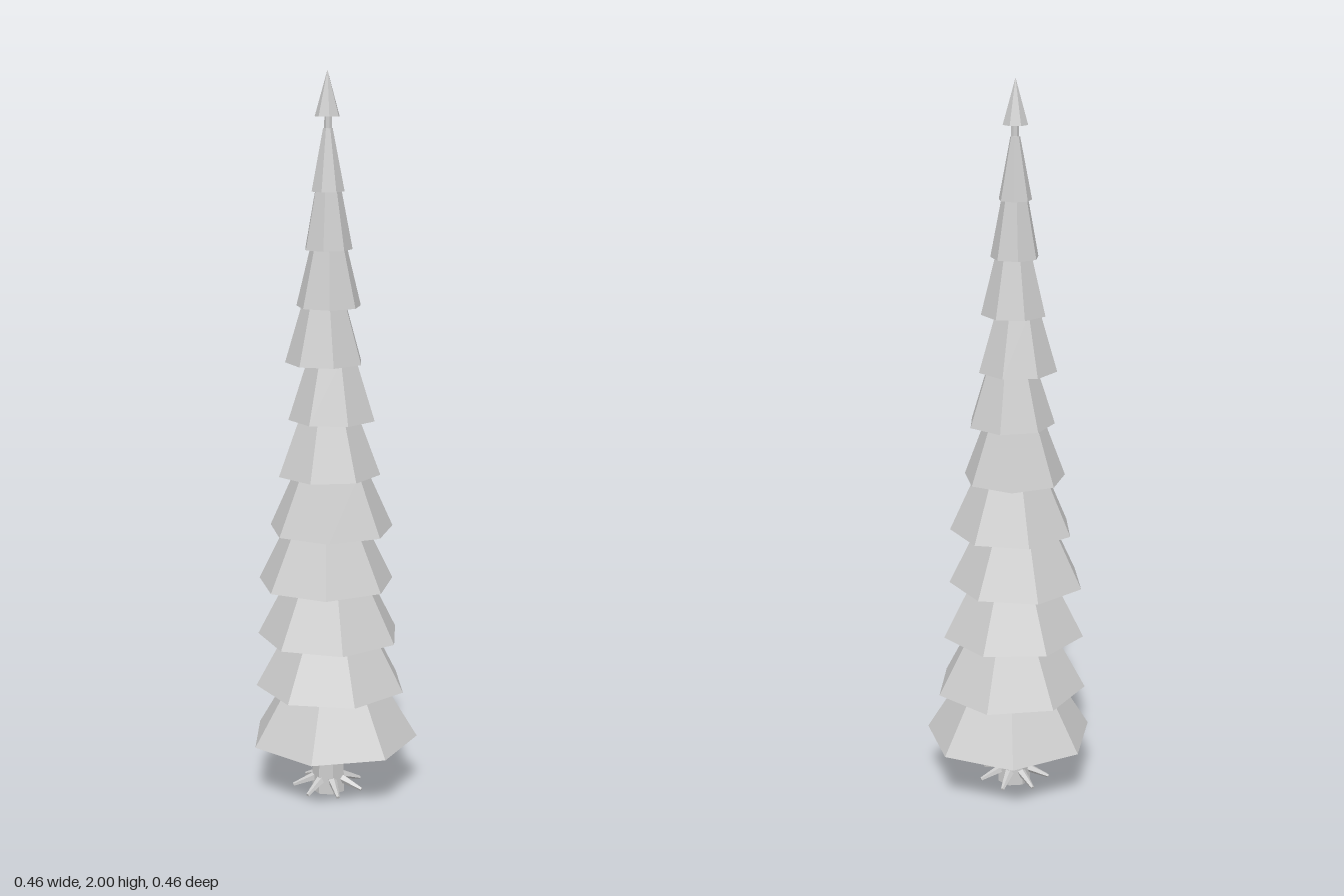
import * as THREE from 'three';

export function createModel() {
  const tree = new THREE.Group();
  tree.name = 'coniferTree';
  const grey = new THREE.MeshStandardMaterial({ color: 0xcccccc, flatShading: true });
  grey.name = 'light grey';
  const SIDES = 7;
  const rad = THREE.MathUtils.degToRad;

  // Upright frustum standing on y, first corner at `turn` degrees from +x towards +z
  function frustum(name, rTop, rBottom, y, height, x, z, turn) {
    const g = new THREE.CylinderGeometry(rTop, rBottom, height, SIDES, 1, false, rad(90 - turn));
    const m = new THREE.Mesh(g, grey);
    m.name = name;
    m.position.set(x, y + height / 2, z);
    tree.add(m);
  }

  // Trunk running up through all the tiers
  frustum('trunk', 0.01, 0.047, 0, 1.9, -0.02, 0, 13);

  // Branch tiers: centre x, centre z, radius, turn
  const tiers = [
    [0, -0.005, 0.237, -9],
    [0, -0.01, 0.212, 11],
    [-0.02, 0.005, 0.2, 18],
    [-0.03, 0, 0.19, 28],
    [-0.02, 0.01, 0.173, 30],
    [-0.02, 0, 0.142, 48],
    [-0.015, 0.01, 0.12, 59],
    [-0.022, -0.012, 0.108, 67],
    [-0.017, -0.002, 0.089, 78],
    [-0.02, -0.002, 0.066, 90],
    [-0.02, -0.002, 0.045, 101],
  ];
  tiers.forEach(([x, z, r, turn], i) => {
    const top = i === 10 ? 0.013 : r * 0.6 - 0.005;
    frustum('branchTier' + (i + 1), top, r, 0.155 + i * 0.153, 0.165, x, z, turn);
  });

  // Pointed crown
  frustum('crownTip', 0, 0.034, 1.88, 0.12, -0.02, -0.003, 20);

  // Roots sloping down and outwards from the trunk foot
  const up = new THREE.Vector3(0, 1, 0);
  for (let i = 0; i < SIDES; i++) {
    const a = rad(13 + (i * 360) / SIDES);
    const at = (r, y) => new THREE.Vector3(-0.02 + r * Math.cos(a), y, r * Math.sin(a));
    const start = at(0.03, 0.042), end = at(0.1, 0.014);
    const dir = end.clone().sub(start);
    const root = new THREE.Mesh(new THREE.CylinderGeometry(0.005, 0.014, dir.length(), 5), grey);
    root.name = 'root' + (i + 1);
    root.position.copy(start).add(end).multiplyScalar(0.5);
    root.quaternion.setFromUnitVectors(up, dir.normalize());
    tree.add(root);
  }
  return tree;
}
